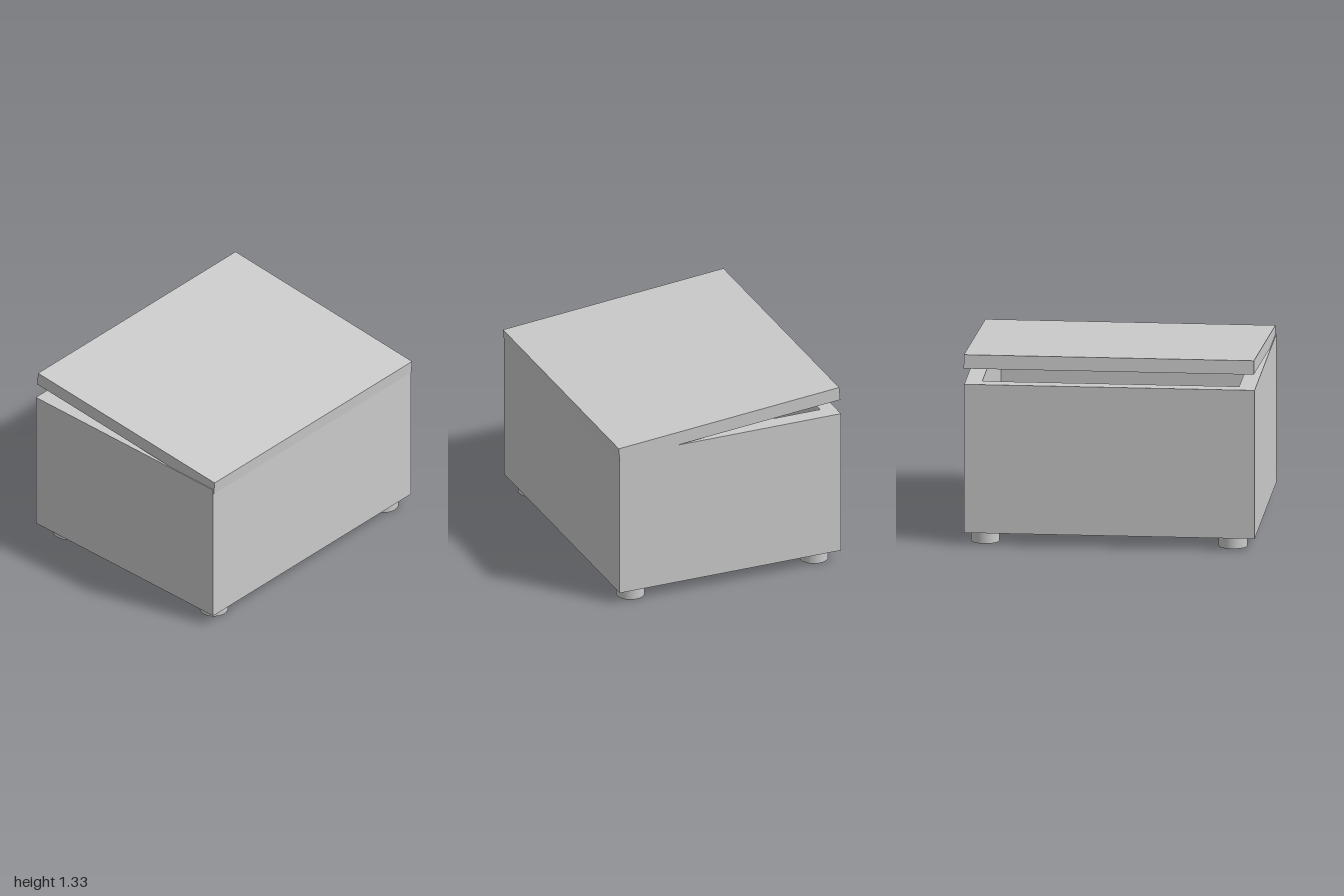
import * as THREE from 'three';

const grey = new THREE.MeshStandardMaterial({ color: 0xcccccc, flatShading: true });
const smooth = new THREE.MeshStandardMaterial({ color: 0xcccccc });

function addMesh(group, name, geometry, material, x, y, z) {
  const mesh = new THREE.Mesh(geometry, material);
  mesh.name = name;
  mesh.position.set(x, y, z);
  group.add(mesh);
  return mesh;
}

// Open box skinned over rectangular rings [half width, y, half depth]:
// underside, outer walls, rim, inner walls, inner floor.
function openBox(w, h, d, wallX, wallZ, floor) {
  const rings = [
    [0, 0, 0], [w / 2, 0, d / 2], [w / 2, h, d / 2],
    [w / 2 - wallX, h, d / 2 - wallZ], [w / 2 - wallX, floor, d / 2 - wallZ], [0, floor, 0],
  ];
  const corners = [[-1, 1], [1, 1], [1, -1], [-1, -1]];
  const point = (r, c) => [rings[r][0] * corners[c][0], rings[r][1], rings[r][2] * corners[c][1]];
  const pos = [];
  for (let r = 0; r < rings.length - 1; r++) {
    for (let c = 0; c < 4; c++) {
      const n = (c + 1) % 4;
      const a = point(r, c), b = point(r, n), e = point(r + 1, n), f = point(r + 1, c);
      if (r > 0) pos.push(...a, ...b, ...e);
      if (r < rings.length - 2) pos.push(...a, ...e, ...f);
    }
  }
  const geometry = new THREE.BufferGeometry();
  geometry.setAttribute('position', new THREE.Float32BufferAttribute(pos, 3));
  geometry.computeVertexNormals();
  return geometry;
}

export function createModel() {
  const model = new THREE.Group();
  model.name = 'chest';

  // Hollow body
  addMesh(model, 'body', openBox(1.65, 1.045, 1.995, 0.105, 0.115, 0.1), grey, -0.005, 0.085, 0.002);

  // Lid, ajar and sunk into the rim on the hinge side
  const lid = addMesh(model, 'lid', new THREE.BoxGeometry(1.65, 0.096, 1.993), grey, 0.003, 1.215, -0.003);
  lid.rotation.z = -THREE.MathUtils.degToRad(5);

  // Four round feet
  const foot = new THREE.CylinderGeometry(0.098, 0.098, 0.09, 32);
  const feet = {
    frontRightFoot: [-0.685, 0.838], frontLeftFoot: [0.678, 0.838],
    backRightFoot: [-0.685, -0.863], backLeftFoot: [0.687, -0.871],
  };
  for (const [name, [x, z]] of Object.entries(feet)) addMesh(model, name, foot, smooth, x, 0.045, z);

  return model;
}
